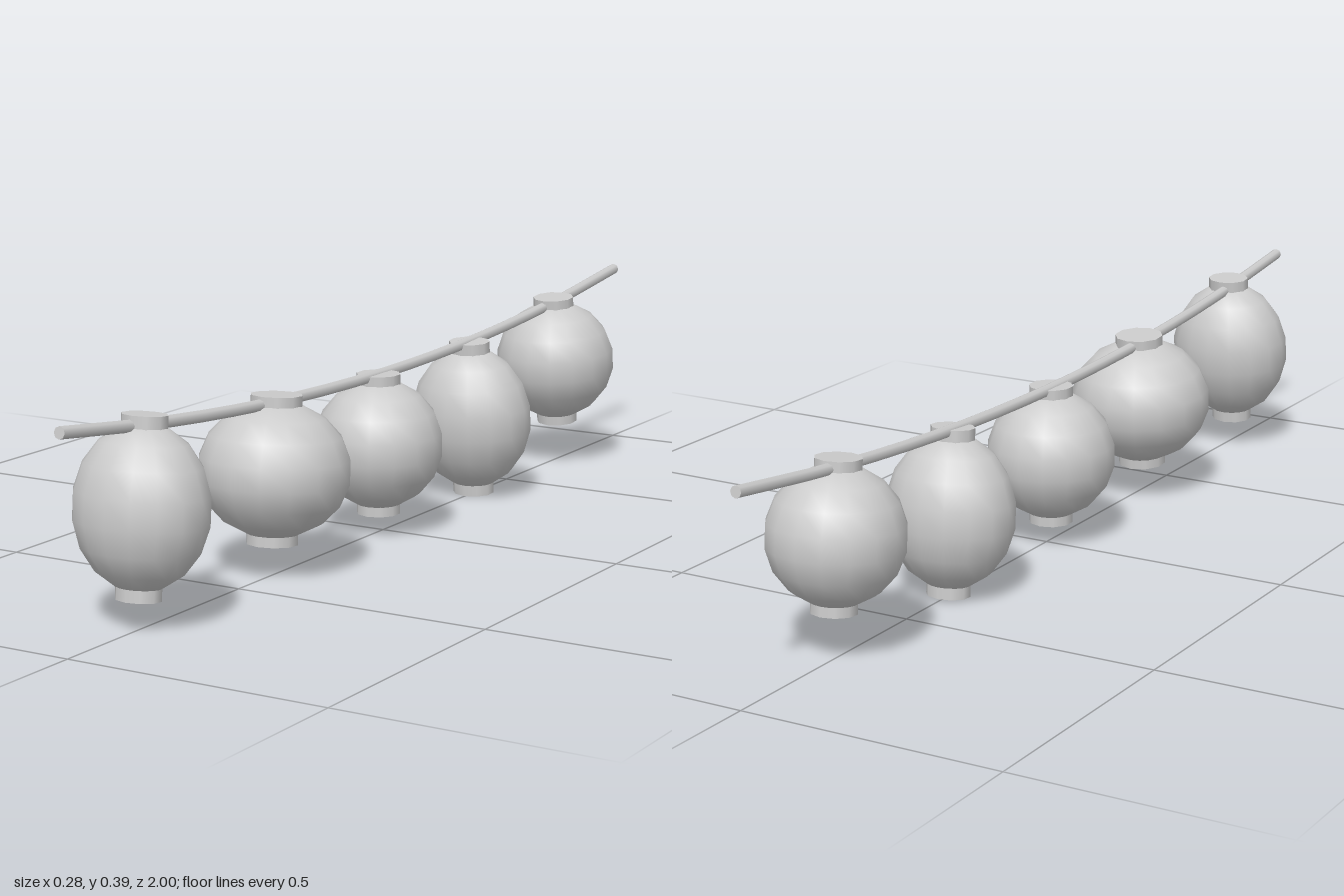
import * as THREE from 'three';

const material = new THREE.MeshStandardMaterial({ color: 0xcccccc });
const RADIUS = 0.1245, CAP_RADIUS = 0.0425, CAP_HEIGHT = 0.02;

function addMesh(parent, name, geometry) {
  const mesh = new THREE.Mesh(geometry, material);
  mesh.name = name;
  parent.add(mesh);
  return mesh;
}

// Round paper lantern with a collar at each end, centred on its own middle
function makeLantern() {
  const lantern = new THREE.Group();
  addMesh(lantern, 'lanternBody', new THREE.SphereGeometry(RADIUS, 16, 9));
  for (const [name, side] of [['topCollar', 1], ['bottomCollar', -1]]) {
    const collar = addMesh(lantern, name, new THREE.CylinderGeometry(CAP_RADIUS, CAP_RADIUS, CAP_HEIGHT, 10));
    collar.position.y = side * 0.126;
  }
  return lantern;
}

// Sagging cord along z, closed at both ends
function makeCord() {
  const cord = new THREE.Group();
  cord.name = 'cord';
  const points = [];
  for (let i = 0; i <= 8; i++) {
    const z = -1 + i / 4;
    points.push(new THREE.Vector3(-0.005, 0.308 + 0.07 * z * z, z));
  }
  const curve = new THREE.CatmullRomCurve3(points);
  addMesh(cord, 'cordLine', new THREE.TubeGeometry(curve, 20, 0.011, 8));
  for (const t of [0, 1]) {
    const end = addMesh(cord, 'cordEnd', new THREE.CircleGeometry(0.011, 8));
    const out = curve.getTangentAt(t).multiplyScalar(t ? 1 : -1);
    end.position.copy(curve.getPointAt(t));
    end.quaternion.setFromUnitVectors(new THREE.Vector3(0, 0, 1), out);
  }
  return cord;
}

export function createModel() {
  const model = new THREE.Group();
  model.name = 'lanternString';
  model.add(makeCord());

  // Each lantern hangs square to the cord: height, depth, tilt and stretch
  const tall = [1, 1.16, 0.87], wide = [1.13, 1, 1.13], round = [1, 1, 1];
  const lanterns = [
    { y: 0.212, z: 0.788, tilt: -0.09, scale: tall },
    { y: 0.197, z: 0.381, tilt: -0.07, scale: wide },
    { y: 0.176, z: 0.017, tilt: 0, scale: round },
    { y: 0.162, z: -0.348, tilt: 0.07, scale: tall },
    { y: 0.222, z: -0.714, tilt: 0.09, scale: round },
  ];
  lanterns.forEach(({ y, z, tilt, scale }, i) => {
    const lantern = makeLantern();
    lantern.name = `lantern${i + 1}`;
    lantern.position.set(0, y, z);
    lantern.rotation.x = tilt;
    lantern.scale.set(...scale);
    model.add(lantern);
  });
  return model;
}
